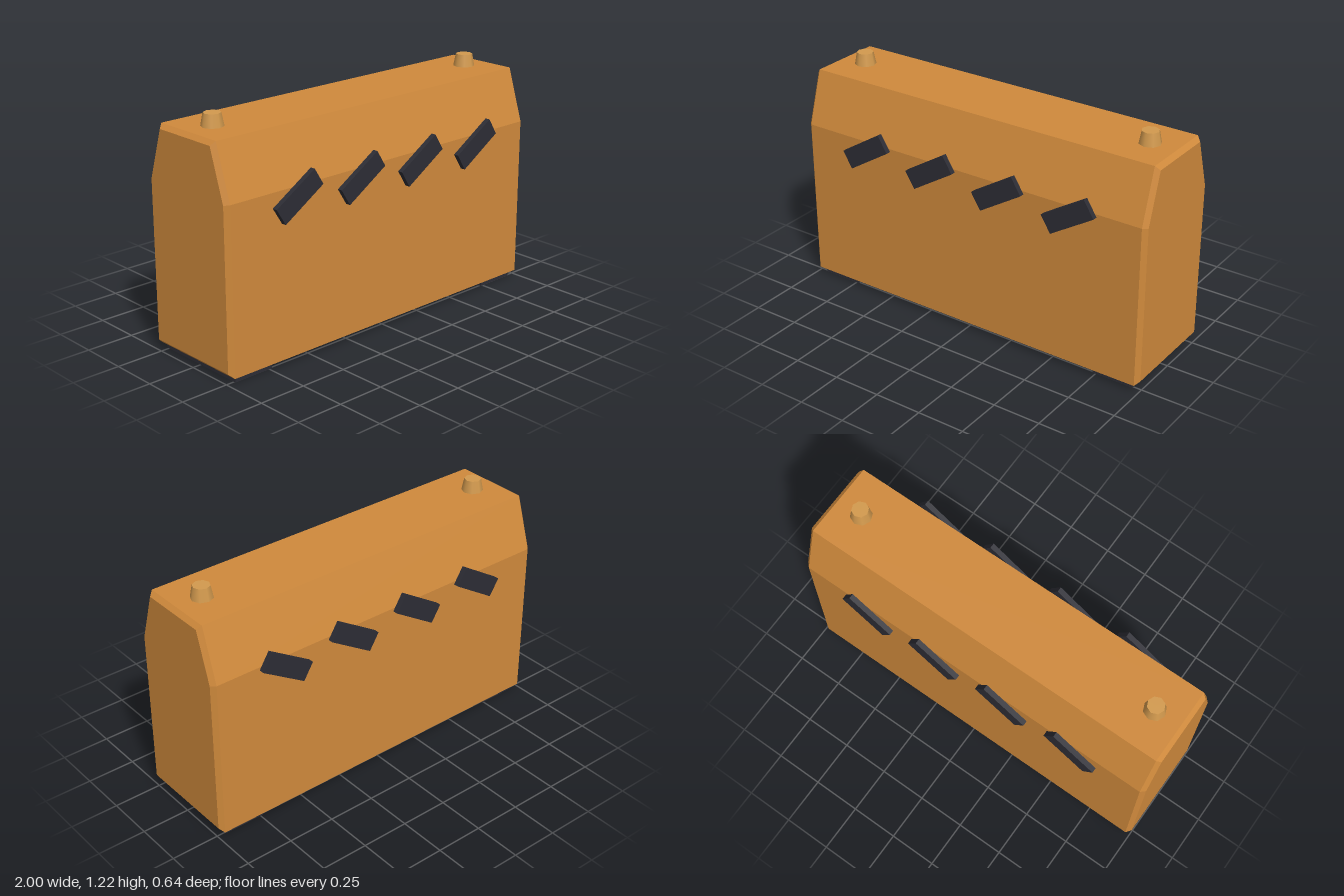
import * as THREE from 'three';

const material = (name, color) => new THREE.MeshStandardMaterial({ name, color });

export function createModel() {
  const model = new THREE.Group();
  const casing = material('amber casing', 0xd08a3c);
  const brass = material('pale brass', 0xd39a4e);
  const rubber = material('dark rubber', 0x2d2d35);

  const add = (name, geometry, mat, x, y, z) => {
    const mesh = new THREE.Mesh(geometry, mat);
    mesh.name = name;
    mesh.position.set(x, y, z);
    model.add(mesh);
    return mesh;
  };

  // Casing: tapered cross-section run along x, with chamfered ends
  const bevel = 0.022;
  const length = 2;
  const profile = new THREE.Shape([
    [-0.2875, 0.035], [0.2875, 0.035], [0.2875, 0.877],
    [0.199, 1.152], [-0.199, 1.152], [-0.2875, 0.877],
  ].map(([z, y]) => new THREE.Vector2(z, y)));
  const body = new THREE.ExtrudeGeometry(profile, {
    depth: length - 2 * bevel,
    bevelThickness: bevel,
    bevelSize: bevel,
    bevelOffset: -bevel,
    bevelSegments: 1,
  });
  body.translate(0, 0, bevel - length / 2).rotateY(Math.PI / 2);
  add('casing', body, casing, 0, 0, 0);

  // Feet under and studs on top of each end
  const foot = new THREE.BoxGeometry(0.22, 0.04, 0.52);
  const stud = new THREE.CylinderGeometry(0.043, 0.056, 0.067, 8);
  for (const side of [-1, 1]) {
    const label = side > 0 ? 'left' : 'right';
    add(`${label}Foot`, foot, rubber, side * 0.845, 0.02, 0);
    add(`${label}Stud`, stud, brass, side * 0.84, 1.1825, 0);
  }

  // Four slanted slats on the front and on the back
  const slat = new THREE.BoxGeometry(0.273, 0.1, 0.027);
  for (const face of [1, -1]) {
    for (let i = 0; i < 4; i++) {
      const name = `${face > 0 ? 'front' : 'back'}Slat${i + 1}`;
      add(name, slat, rubber, -0.597 + i * 0.4, 0.835, face * 0.3065)
        .rotation.z = THREE.MathUtils.degToRad(32);
    }
  }

  return model;
}
